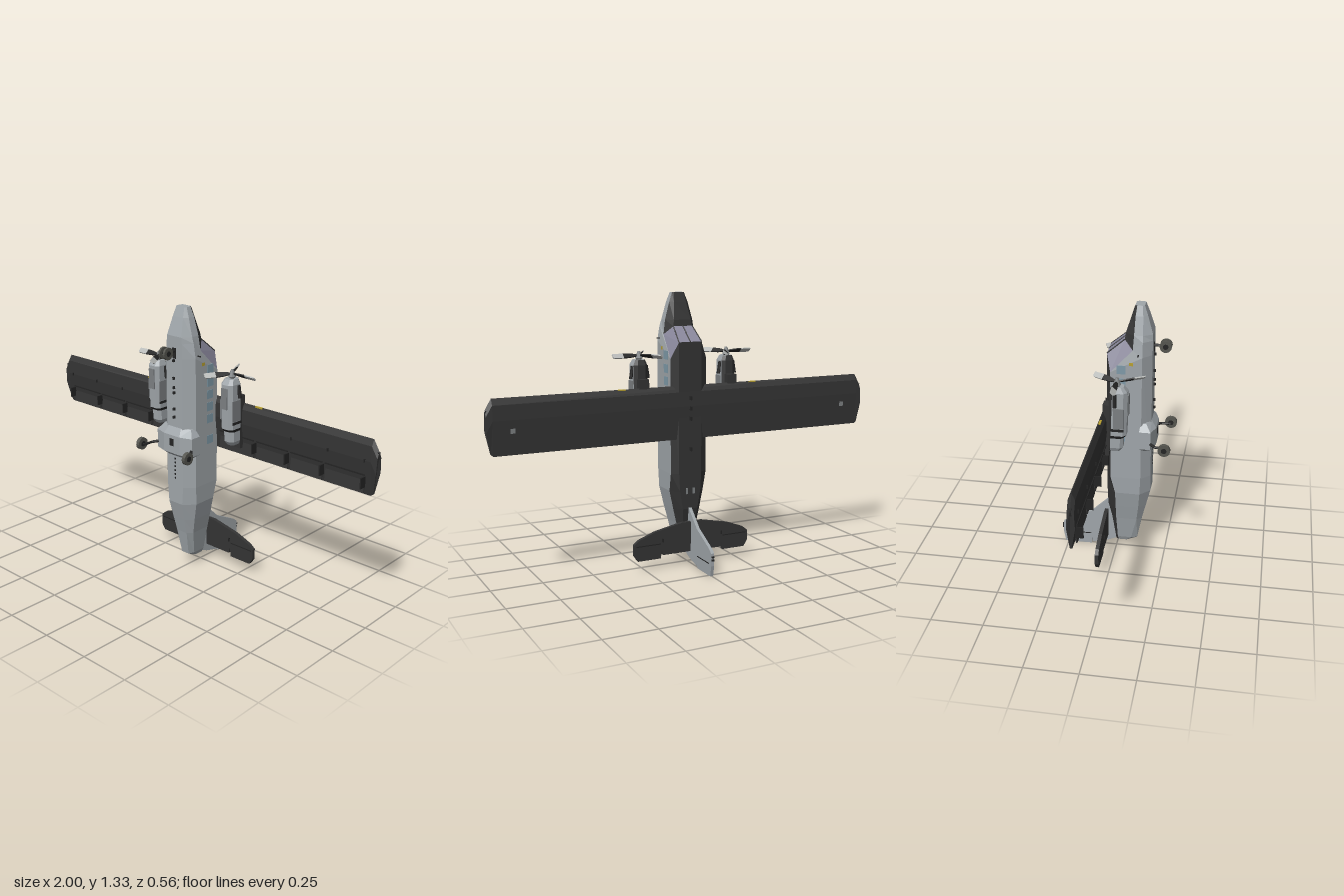
import * as THREE from 'three';

const COLORS = { grey: 0xa0a6aa, mid: 0x7c8082, dark: 0x343434, black: 0x242424, glass: 0x8a889c, window: 0x7f9aa8, tyre: 0x55554f, tip: 0xb8bab8, amber: 0xb8a030 };
const mats = {};
const mat = (c) => (mats[c] ??= new THREE.MeshStandardMaterial({ color: COLORS[c], flatShading: true, side: THREE.DoubleSide }));

function add(parent, name, geo, color, x = 0, y = 0, z = 0) {
  const m = new THREE.Mesh(geo, mat(color));
  m.name = name;
  m.position.set(x, y, z);
  parent.add(m);
  return m;
}
const box = (g, name, c, w, h, d, x, y, z) => add(g, name, new THREE.BoxGeometry(w, h, d), c, x, y, z);

// Skin a list of rings of [x, y, z]; colorOf(ring, side) sorts the faces into one mesh per colour
function loft(parent, name, rings, colorOf) {
  const faces = {};
  const tri = (c, ...pts) => (faces[c] ??= []).push(...pts.flat());
  const n = rings[0].length;
  let volume = 0;
  const v = (p) => new THREE.Vector3(...p);
  const list = [];
  for (let i = 0; i < rings.length - 1; i++)
    for (let j = 0; j < n; j++) {
      const k = (j + 1) % n, a = rings[i][j], b = rings[i][k], c = rings[i + 1][k], d = rings[i + 1][j];
      list.push([colorOf(i, j), a, b, c], [colorOf(i, j), a, c, d]);
    }
  const last = rings.length - 1;
  for (let j = 1; j < n - 1; j++) {
    list.push([colorOf(0, 0), rings[0][0], rings[0][j + 1], rings[0][j]]);
    list.push([colorOf(last - 1, 0), rings[last][0], rings[last][j], rings[last][j + 1]]);
  }
  for (const [, a, b, c] of list) volume += v(a).dot(v(b).cross(v(c)));
  for (const [col, a, b, c] of list) volume > 0 ? tri(col, a, b, c) : tri(col, a, c, b);
  for (const col in faces) {
    const geo = new THREE.BufferGeometry();
    geo.setAttribute('position', new THREE.Float32BufferAttribute(faces[col], 3));
    geo.computeVertexNormals();
    add(parent, name, geo, col);
  }
}

// Flat plate from an outline
function plate(points, depth) {
  const shape = new THREE.Shape(points.map(([x, y]) => new THREE.Vector2(x, y)));
  return new THREE.ExtrudeGeometry(shape, { depth, bevelEnabled: false }).translate(0, 0, -depth / 2);
}

// Rod between two points
function rod(parent, name, color, a, b, r) {
  const p = new THREE.Vector3(...a), q = new THREE.Vector3(...b);
  const m = add(parent, name, new THREE.CylinderGeometry(r, r, p.distanceTo(q), 8), color);
  m.position.copy(p).add(q).multiplyScalar(0.5);
  m.quaternion.setFromUnitVectors(new THREE.Vector3(0, 1, 0), q.sub(p).normalize());
}

function wheel(parent, x, y, z, r, w) {
  add(parent, 'tyre', new THREE.CylinderGeometry(r, r, w, 14).rotateZ(Math.PI / 2), 'tyre', x, y, z);
  add(parent, 'hub', new THREE.CylinderGeometry(r * 0.45, r * 0.45, w * 1.25, 10).rotateZ(Math.PI / 2), 'black', x, y, z);
}

function fuselage(g) {
  // y, belly half width, half width, top half width, z of belly, chine, shoulder, top, y of shoulder
  const sections = [
    [1.33, 0.025, 0.032, 0.025, 0.134, 0.125, 0.1, 0.09],
    [1.285, 0.032, 0.049, 0.032, 0.15, 0.13, 0.095, 0.076],
    [1.2, 0.045, 0.073, 0.045, 0.176, 0.134, 0.092, 0.05],
    [1.17, 0.048, 0.083, 0.05, 0.176, 0.134, 0.088, 0.046, 1.13],
    [1.1, 0.05, 0.095, 0.06, 0.176, 0.134, -0.015, -0.036, 1.02],
    [0.46, 0.05, 0.095, 0.06, 0.176, 0.132, -0.015, -0.036],
    [0.37, 0.043, 0.092, 0.055, 0.176, 0.128, 0.007, -0.036],
    [0.28, 0.037, 0.073, 0.04, 0.154, 0.12, 0.007, -0.035],
    [0.2, 0.032, 0.055, 0.03, 0.134, 0.11, 0.007, -0.018],
    [0.075, 0.022, 0.033, 0.02, 0.11, 0.08, 0.012, 0],
    [0.053, 0.016, 0.024, 0.016, 0.067, 0.055, 0.015, 0.002],
  ];
  const rings = sections.map(([y, b, w, t, zb, zc, zu, zt, yu = y]) => [
    [b, y, zb], [w, y, zc], [w, yu, zu], [t, y, zt], [-t, y, zt], [-w, yu, zu], [-w, y, zc], [-b, y, zb]]);
  // Sides 2 to 4 are the dark upper skin, with the windscreen between rings 3 and 4
  loft(g, 'fuselage', rings, (i, j) => (j < 2 || j > 4 ? 'grey' : i === 3 ? 'glass' : 'dark'));
  for (const s of [-1, 1]) {
    for (const y of [1.035, 0.97, 0.91, 0.85, 0.79, 0.685])
      box(g, 'cabinWindow', 'window', 0.004, 0.042, 0.042, s * 0.095, y, 0.036);
    box(g, 'sideProbe', 'black', 0.02, 0.005, 0.005, s * 0.098, 1.11, 0.115);
    box(g, 'sideLight', 'amber', 0.004, 0.015, 0.018, s * 0.094, 1.065, 0.082);
  }
  // Windscreen posts
  rod(g, 'windscreenPost', 'dark', [0, 1.17, 0.045], [0, 1.1, -0.037], 0.003);
  for (const s of [-1, 1]) rod(g, 'windscreenPost', 'dark', [s * 0.05, 1.17, 0.046], [s * 0.06, 1.1, -0.036], 0.003);
  // Belly and roof aerials
  for (const y of [1.085, 1, 0.955, 0.93, 0.85, 0.81]) box(g, 'bellyAerial', 'black', 0.008, 0.012, 0.014, 0, y, 0.18);
  for (let i = 0; i < 6; i++) box(g, 'bellyVent', 'black', 0.006, 0.009, 0.004, 0, 0.5 + i * 0.02, 0.176);
  for (const y of [0.83, 0.78, 0.73, 0.58]) box(g, 'roofAerial', 'black', 0.008, 0.018, 0.018, 0, y, -0.045);
  for (const s of [-1, 1]) box(g, 'roofVent', 'mid', 0.012, 0.03, 0.004, s * 0.018, 0.37, -0.036);
}

function wing(g) {
  const ring = (x, lead, trail, xt = x) => [
    [x, lead, -0.02], [x, lead - 0.03, -0.036], [x, lead - 0.1, -0.039], [xt, trail, -0.03],
    [xt, trail, -0.022], [x, lead - 0.1, -0.003], [x, lead - 0.03, -0.006]];
  loft(g, 'wing', [ring(-1, 0.84, 0.64, -0.982), ring(-0.97, 0.89, 0.63), ring(0.97, 0.89, 0.63), ring(1, 0.84, 0.64, 0.982)], () => 'dark');
  for (const s of [-1, 1]) {
    for (const [a, b] of [[0.12, 0.33], [0.345, 0.53], [0.545, 0.72], [0.735, 0.94]]) {
      const flap = box(g, 'flap', 'dark', b - a, 0.08, 0.006, (s * (a + b)) / 2, 0.678, -0.015);
      flap.rotation.x = -0.13;
      box(g, 'flapSeam', 'black', b - a, 0.006, 0.006, (s * (a + b)) / 2, 0.722, -0.009);
    }
    for (const x of [0.34, 0.53, 0.725, 0.94]) box(g, 'flapHinge', 'black', 0.006, 0.05, 0.034, s * x, 0.69, 0.002);
    for (const x of [0.55, 0.75, 0.94]) box(g, 'wingFitting', 'black', 0.006, 0.015, 0.008, s * x, 0.79, -0.002);
    box(g, 'landingLight', 'amber', 0.04, 0.006, 0.01, s * 0.35, 0.887, -0.018);
    box(g, 'tipLight', 'black', 0.012, 0.035, 0.014, s * 0.993, 0.82, -0.021);
    box(g, 'wingTopPanel', 'mid', 0.022, 0.022, 0.003, s * 0.88, 0.74, -0.037);
  }
}

function engine(s) {
  const g = new THREE.Group();
  g.name = s > 0 ? 'leftEngine' : 'rightEngine';
  g.position.x = s * 0.235;
  // Chamfered nacelle: y, half width, lower z, upper z
  const rings = [[1.02, 0.025, 0.072, 0.015], [0.995, 0.035, 0.09, 0.007], [0.9, 0.036, 0.09, 0.004], [0.78, 0.035, 0.086, 0], [0.765, 0.03, 0.072, 0], [0.715, 0.029, 0.07, 0], [0.695, 0.02, 0.055, 0]]
    .map(([y, w, a, b]) => {
      const c = w * 0.45;
      return [[w - c, y, a], [w, y, a - c], [w, y, b + c], [w - c, y, b], [c - w, y, b], [-w, y, b + c], [-w, y, a - c], [c - w, y, a]];
    });
  loft(g, 'nacelle', rings, (i, j) => (j > 1 && j < 5 ? 'dark' : i === 3 ? 'black' : 'grey'));
  box(g, 'wingPylon', 'dark', 0.05, 0.26, 0.03, 0, 0.8, -0.008);
  box(g, 'intakeScoop', 'mid', 0.034, 0.1, 0.012, 0, 0.93, 0.09);
  for (const e of [-1, 1]) {
    rod(g, 'exhaust', 'black', [e * 0.035, 0.99, 0.035], [e * 0.045, 0.93, 0.035], 0.009);
    box(g, 'cowlPanel', 'mid', 0.006, 0.1, 0.05, e * 0.036, 0.87, 0.052);
    box(g, 'cowlBand', 'black', 0.004, 0.012, 0.06, e * 0.036, 0.81, 0.045);
  }
  // Three-bladed propeller
  const prop = new THREE.Group();
  prop.name = 'propeller';
  prop.position.set(0, 1.04, 0.04);
  g.add(prop);
  add(prop, 'spinner', new THREE.CylinderGeometry(0.006, 0.019, 0.035, 10), 'mid', 0, 0.003, 0);
  add(prop, 'shaft', new THREE.CylinderGeometry(0.012, 0.014, 0.04, 10), 'black', 0, -0.025, 0);
  for (let i = 0; i < 3; i++) {
    const blade = new THREE.Group();
    blade.name = 'blade';
    blade.rotation.y = (i * Math.PI * 2) / 3 + (s > 0 ? 0 : Math.PI);
    prop.add(blade);
    const root = add(blade, 'bladeRoot', plate([[0.01, -0.005], [0.04, -0.011], [0.08, -0.014], [0.08, 0.014], [0.04, 0.011], [0.01, 0.005]], 0.006), 'black');
    const tip = add(blade, 'bladeTip', plate([[0.08, -0.014], [0.128, -0.014], [0.134, -0.008], [0.134, 0.012], [0.08, 0.014]], 0.006), 'tip');
    root.rotation.x = tip.rotation.x = 0.85;
  }
  return g;
}

function tail(g) {
  // Fin outline in (z, y)
  const fin = plate([[0, 0.05], [-0.035, 0.285], [-0.123, 0.2], [-0.25, 0.137], [-0.275, 0.117], [-0.275, 0.055], [-0.265, 0.003], [-0.13, 0.003], [-0.127, 0.035], [-0.122, 0.012], [-0.04, 0.032]], 0.016);
  add(g, 'fin', fin.rotateY(-Math.PI / 2), 'grey');
  box(g, 'rudderSeam', 'black', 0.018, 0.005, 0.12, 0, 0.063, -0.19);
  for (const y of [0.1, 0.085]) box(g, 'finTipFitting', 'black', 0.012, 0.008, 0.012, 0, y, -0.276);
  const half = [[0, 0.22], [0.055, 0.22], [0.2, 0.19], [0.285, 0.158], [0.31, 0.138], [0.31, 0.085], [0.29, 0.055], [0.17, 0.055], [0.165, 0.1], [0.157, 0.07], [0, 0.07]];
  for (const s of [-1, 1]) {
    const pts = half.map(([x, y]) => [s * x, y]);
    add(g, 'tailplane', plate(pts, 0.018), 'dark', 0, 0, -0.049);
    box(g, 'elevatorSeam', 'black', 0.13, 0.005, 0.02, s * 0.235, 0.128, -0.049);
    box(g, 'elevatorHinge', 'black', 0.006, 0.018, 0.034, s * 0.16, 0.145, -0.049);
  }
  add(g, 'tailLight', new THREE.CylinderGeometry(0.008, 0.008, 0.016, 8), 'black', 0, 0.05, 0.035);
}

function gear(g) {
  // Faired sponson across the belly: y, half width, inner z, outer z
  const rings = [[0.76, 0.085, 0.13, 0.176], [0.725, 0.112, 0.125, 0.2], [0.635, 0.112, 0.125, 0.2], [0.61, 0.08, 0.13, 0.17]]
    .map(([y, w, a, b]) => [[w, y, a], [w, y, b - 0.02], [w * 0.45, y, b], [-w * 0.45, y, b], [-w, y, b - 0.02], [-w, y, a]]);
  loft(g, 'sponson', rings, () => 'grey');
  box(g, 'bellyHatch', 'black', 0.025, 0.035, 0.004, 0, 0.69, 0.2);
  for (const s of [-1, 1]) {
    rod(g, 'mainStrut', 'black', [s * 0.1, 0.665, 0.17], [s * 0.128, 0.66, 0.205], 0.007);
    rod(g, 'mainLeg', 'black', [s * 0.128, 0.66, 0.2], [s * 0.128, 0.66, 0.25], 0.006);
    rod(g, 'mainAxle', 'black', [s * 0.128, 0.66, 0.25], [s * 0.155, 0.66, 0.25], 0.005);
    wheel(g, s * 0.15, 0.66, 0.25, 0.03, 0.018);
    wheel(g, s * 0.014, 1.13, 0.232, 0.029, 0.01);
  }
  rod(g, 'noseLeg', 'black', [0, 1.13, 0.165], [0, 1.13, 0.232], 0.007);
  rod(g, 'noseAxle', 'black', [-0.02, 1.13, 0.232], [0.02, 1.13, 0.232], 0.005);
  box(g, 'noseGearDoor', 'black', 0.02, 0.05, 0.006, 0, 1.12, 0.176);
}

export function createModel() {
  const model = new THREE.Group();
  model.name = 'aircraft';
  const parts = { fuselageGroup: fuselage, wingGroup: wing, tailGroup: tail, landingGear: gear };
  for (const [name, build] of Object.entries(parts)) {
    const g = new THREE.Group();
    g.name = name;
    build(g);
    model.add(g);
  }
  model.add(engine(1), engine(-1));
  return model;
}
